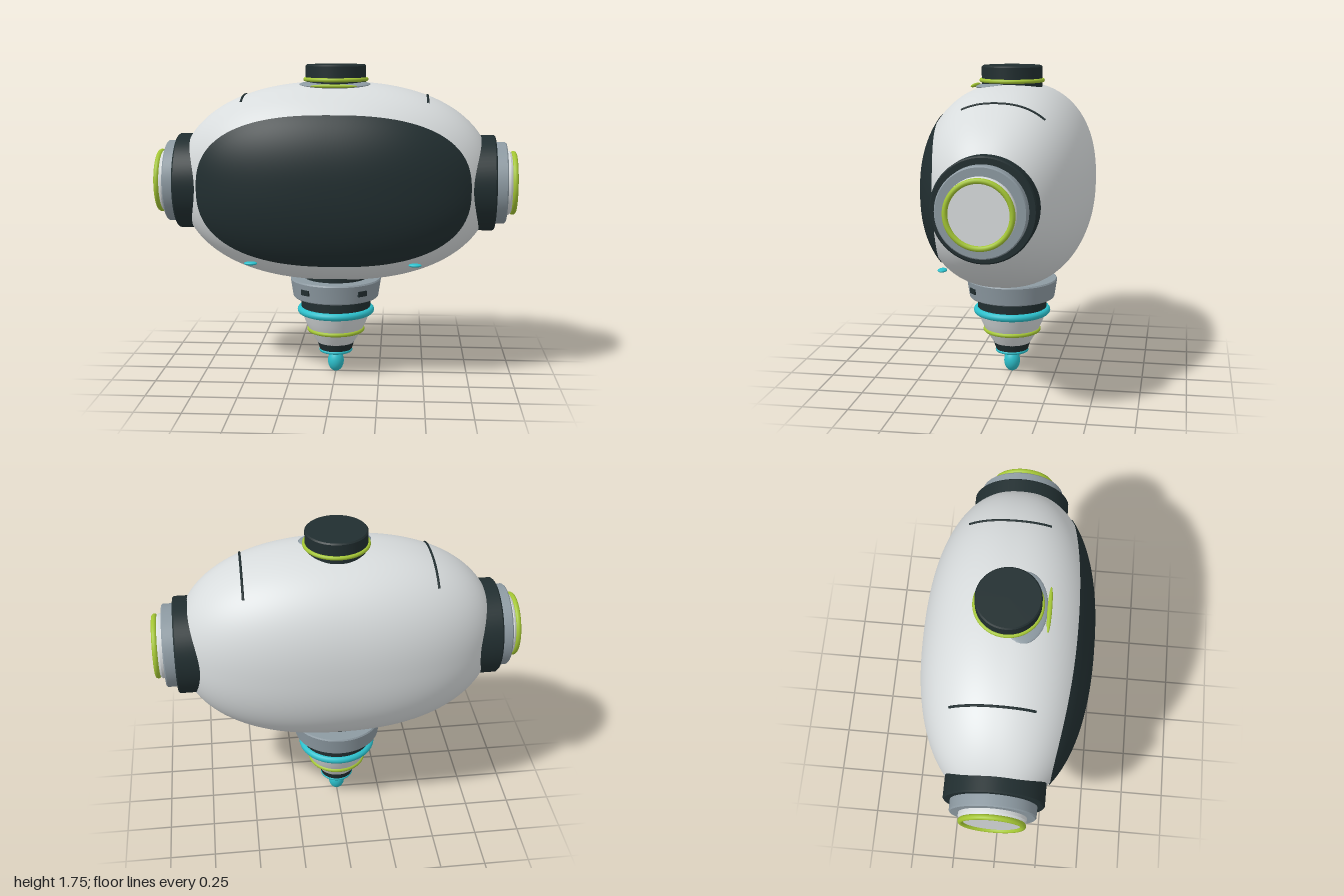
import * as THREE from 'three';
import { mergeVertices, toCreasedNormals } from 'three/addons/utils/BufferGeometryUtils.js';

const N = 2.3, CY = 1.11, A = 0.87, B = 0.553, C = 0.46; // superellipsoid body

const mat = (name, color, side = THREE.FrontSide) => {
  const m = new THREE.MeshStandardMaterial({ color, side });
  m.name = name;
  return m;
};
// remaining half-extent of the body surface given two normalised coordinates
const rest = (p, q) => Math.pow(Math.max(0, 1 - Math.abs(p) ** N - Math.abs(q) ** N), 1 / N);

function bodyGeometry() {
  let g = new THREE.SphereGeometry(1, 128, 80);
  g.deleteAttribute('uv');
  g.deleteAttribute('normal');
  g = mergeVertices(g, 1e-5);
  const p = g.attributes.position, v = new THREE.Vector3();
  for (let i = 0; i < p.count; i++) {
    v.fromBufferAttribute(p, i);
    const s = Math.abs(v.x) ** N + Math.abs(v.y) ** N + Math.abs(v.z) ** N;
    v.multiplyScalar(Math.pow(s, -1 / N));
    p.setXYZ(i, v.x * A, v.y * B, v.z * C);
  }
  g.computeVertexNormals();
  return g;
}

// rounded oval patch lying on the front of the body
function visorGeometry() {
  const R = 28, S = 112, n = 2.5, pos = [], idx = [];
  for (let i = 0; i <= R; i++) {
    for (let j = 0; j < S; j++) {
      const t = (j / S) * Math.PI * 2, c = Math.cos(t), s = Math.sin(t);
      const r = (i / R) * Math.pow(Math.abs(c) ** n + Math.abs(s) ** n, -1 / n);
      const x = 0.735 * r * c, y = 0.405 * r * s - 0.015;
      pos.push(x * 1.007, y * 1.007, C * rest(x / A, y / B) * 1.007);
      if (i < R) {
        const a = i * S + j, b = i * S + (j + 1) % S;
        idx.push(a, a + S, b + S, a, b + S, b);
      }
    }
  }
  const g = new THREE.BufferGeometry();
  g.setAttribute('position', new THREE.Float32BufferAttribute(pos, 3));
  g.setIndex(idx);
  g.computeVertexNormals();
  return g;
}

const lathe = (pts) => toCreasedNormals(
  new THREE.LatheGeometry(pts.map(([r, y]) => new THREE.Vector2(r, y)), 64), 0.6);

export function createModel() {
  const shell = mat('shellWhite', 0xd8dcdd);
  const dark = mat('darkPanel', 0x212e30);
  const visorDark = dark;
  visorDark.side = THREE.DoubleSide;
  const grey = mat('steelGrey', 0x8d9aa2);
  const lime = mat('limeTrim', 0xa3c534);
  const cyan = mat('cyanGlow', 0x2cc0cc);

  const model = new THREE.Group();
  const add = (name, geo, material, x = 0, y = 0, z = 0, parent = model) => {
    const m = new THREE.Mesh(geo, material);
    m.name = name;
    m.position.set(x, y, z);
    parent.add(m);
    return m;
  };
  const ring = (name, r, tube, y, material, parent = model, squash = 1) => {
    const m = add(name, new THREE.TorusGeometry(r, tube, 14, 64), material, 0, y, 0, parent);
    m.rotation.x = Math.PI / 2;
    m.scale.z = squash;
    return m;
  };
  const blob = (name, material, x, y, z, rx, ry, rz) => {
    const m = add(name, new THREE.SphereGeometry(1, 32, 20), material, x, y, z);
    m.scale.set(rx, ry, rz);
    return m;
  };

  // body and face
  add('body', bodyGeometry(), shell, 0, CY, 0);
  add('visor', visorGeometry(), dark, 0, CY, 0);

  for (const s of [1, -1]) {
    const side = s > 0 ? 'left' : 'right';

    // ear pod, built along its axis and turned outward
    const ear = new THREE.Group();
    ear.name = side + 'Ear';
    ear.position.y = 1.105;
    ear.rotation.z = -s * Math.PI / 2;
    model.add(ear);
    add('earBase', lathe([[0, 0.68], [0.265, 0.68], [0.265, 0.872], [0.258, 0.88], [0, 0.88]]), dark, 0, 0, 0, ear);
    add('earStep', lathe([[0, 0.87], [0.227, 0.87], [0.227, 0.935], [0.221, 0.942], [0, 0.942]]), grey, 0, 0, 0, ear);
    add('earCap', lathe([[0, 0.94], [0.178, 0.94], [0.178, 0.96], [0.172, 0.967], [0.16, 0.985], [0, 0.985]]), shell, 0, 0, 0, ear);
    ring('earTrim', 0.163, 0.014, 0.984, lime, ear, 1.1);

    // seam line over the top of the body
    const pts = [];
    for (let i = 0; i <= 16; i++) {
      const z = 0.18 - 0.43 * i / 16;
      pts.push(new THREE.Vector3(s * 0.505, CY + B * rest(0.505 / A, z / C), z));
    }
    add(side + 'Seam', new THREE.TubeGeometry(new THREE.CatmullRomCurve3(pts), 40, 0.007, 8), dark);

    // small lamp under the visor
    blob(side + 'Lamp', cyan, s * 0.445, 0.695, 0.303, 0.036, 0.01, 0.025);

    // slot on the neck collar
    const slot = add(side + 'CollarSlot', new THREE.BoxGeometry(0.055, 0.03, 0.02), dark, s * 0.155, 0.507, 0.193);
    slot.rotation.y = s * 0.67;
  }

  // top cap with its skirt
  const skirt = blob('capSkirt', grey, 0, 1.65, 0.08, 0.195, 0.018, 0.118);
  skirt.rotation.x = 0.1;
  blob('capLight', lime, 0, 1.645, 0.205, 0.125, 0.01, 0.012);
  add('topCap', lathe([[0, 1.64], [0.167, 1.64], [0.167, 1.748], [0.16, 1.755], [0, 1.755]]), dark);
  ring('capTrim', 0.169, 0.011, 1.675, lime);

  // neck collar and tapered tail
  add('neck', new THREE.CylinderGeometry(0.18, 0.18, 0.1, 48), dark, 0, 0.545, 0);
  add('collar', lathe([[0, 0.45], [0.237, 0.45], [0.242, 0.455], [0.257, 0.552], [0.252, 0.56], [0, 0.56]]), grey);
  add('tailTop', new THREE.CylinderGeometry(0.197, 0.197, 0.1, 64), dark, 0, 0.405, 0);
  ring('tailRing', 0.198, 0.021, 0.37, cyan);
  add('tailCone', lathe([[0, 0.17], [0.1, 0.17], [0.15, 0.25], [0.175, 0.305], [0.194, 0.36], [0, 0.36]]), shell);
  ring('tailTrim', 0.153, 0.012, 0.255, lime);
  add('tailTip', new THREE.CylinderGeometry(0.106, 0.088, 0.055, 48), dark, 0, 0.153, 0);
  ring('tipRing', 0.085, 0.01, 0.13, cyan);
  blob('tipDrop', cyan, 0, 0.062, 0, 0.046, 0.062, 0.046);

  return model;
}
